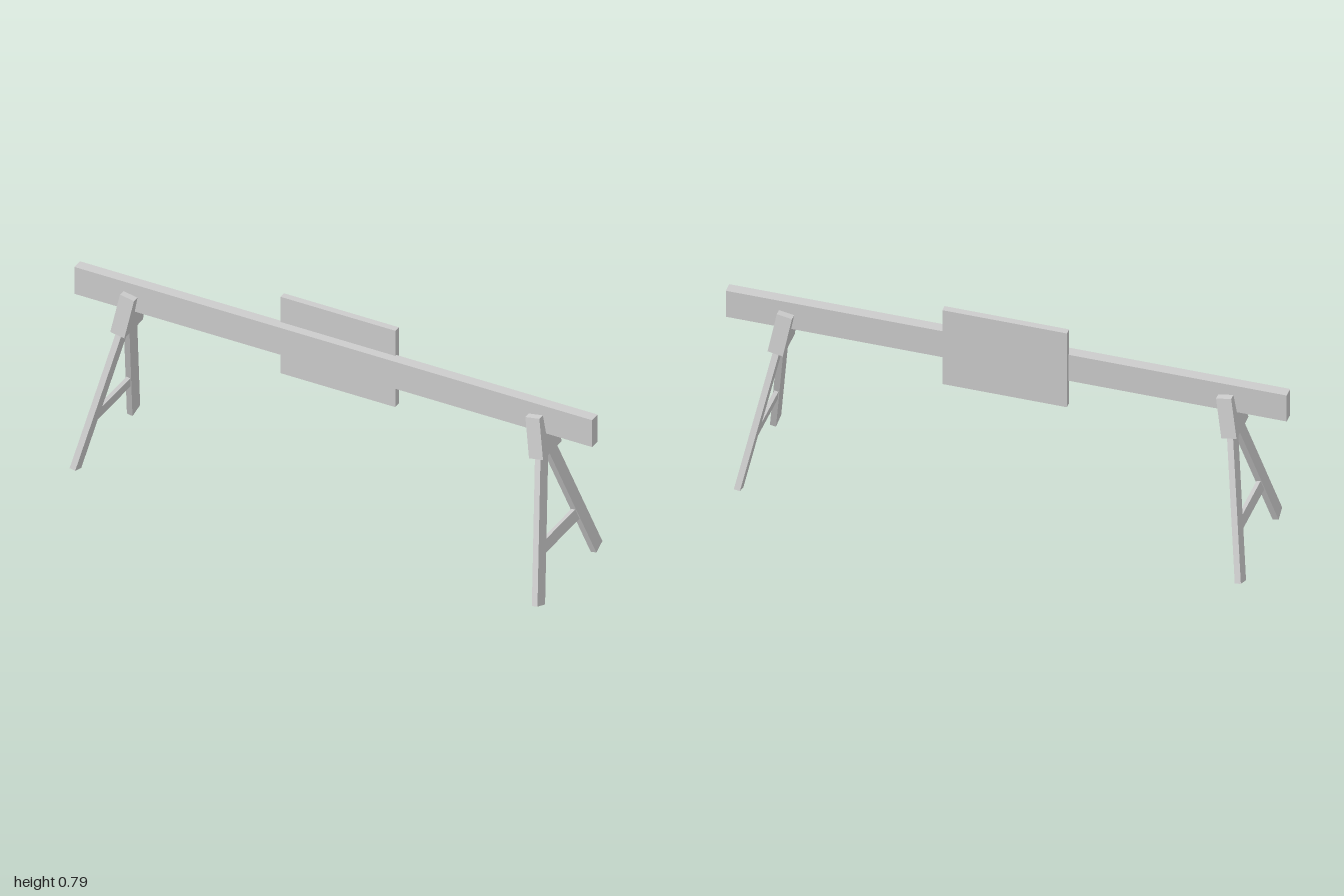
import * as THREE from 'three';

const material = new THREE.MeshStandardMaterial({ color: 0xcccccc, flatShading: true });

function addBox(parent, name, [w, h, d], [x, y, z]) {
  const mesh = new THREE.Mesh(new THREE.BoxGeometry(w, h, d), material);
  mesh.name = name;
  mesh.position.set(x, y, z);
  parent.add(mesh);
  return mesh;
}

// One A-shaped trestle, built upright and then leaned inwards
function createTrestle(side) {
  const trestle = new THREE.Group();
  trestle.name = side > 0 ? 'leftTrestle' : 'rightTrestle';

  // Tapered head block clasping the beam
  const bottom = 0.504, top = 0.653, thickness = 0.055;
  const outline = new THREE.Shape([
    new THREE.Vector2(-0.067, bottom),
    new THREE.Vector2(0.067, bottom),
    new THREE.Vector2(0.045, top),
    new THREE.Vector2(-0.045, top),
  ]);
  const headGeometry = new THREE.ExtrudeGeometry(outline, { depth: thickness, bevelEnabled: false });
  headGeometry.translate(0, 0, -thickness / 2).rotateY(Math.PI / 2);
  const head = new THREE.Mesh(headGeometry, material);
  head.name = 'trestleHead';
  trestle.add(head);

  // Splayed legs, their tops buried in the head
  const splay = THREE.MathUtils.degToRad(20.1), length = 0.56;
  for (const s of [1, -1]) {
    const z = 0.2075 - Math.sin(splay) * length / 2;
    const y = 0.011 + Math.cos(splay) * length / 2;
    const leg = addBox(trestle, s > 0 ? 'frontLeg' : 'backLeg', [0.022, length, 0.052], [0, y, s * z]);
    leg.rotation.x = -s * splay;
  }

  // Cross rung between the legs
  addBox(trestle, 'rung', [0.015, 0.045, 0.25], [0, 0.19, 0]);

  trestle.position.x = side * 0.8965;
  trestle.rotation.z = side * THREE.MathUtils.degToRad(10);
  return trestle;
}

export function createModel() {
  const model = new THREE.Group();
  model.name = 'barrier';
  addBox(model, 'beam', [2, 0.109, 0.04], [0, 0.6325, 0]);
  addBox(model, 'signBoard', [0.444, 0.31, 0.025], [0, 0.634, -0.0255]);
  for (const side of [1, -1]) model.add(createTrestle(side));
  return model;
}
